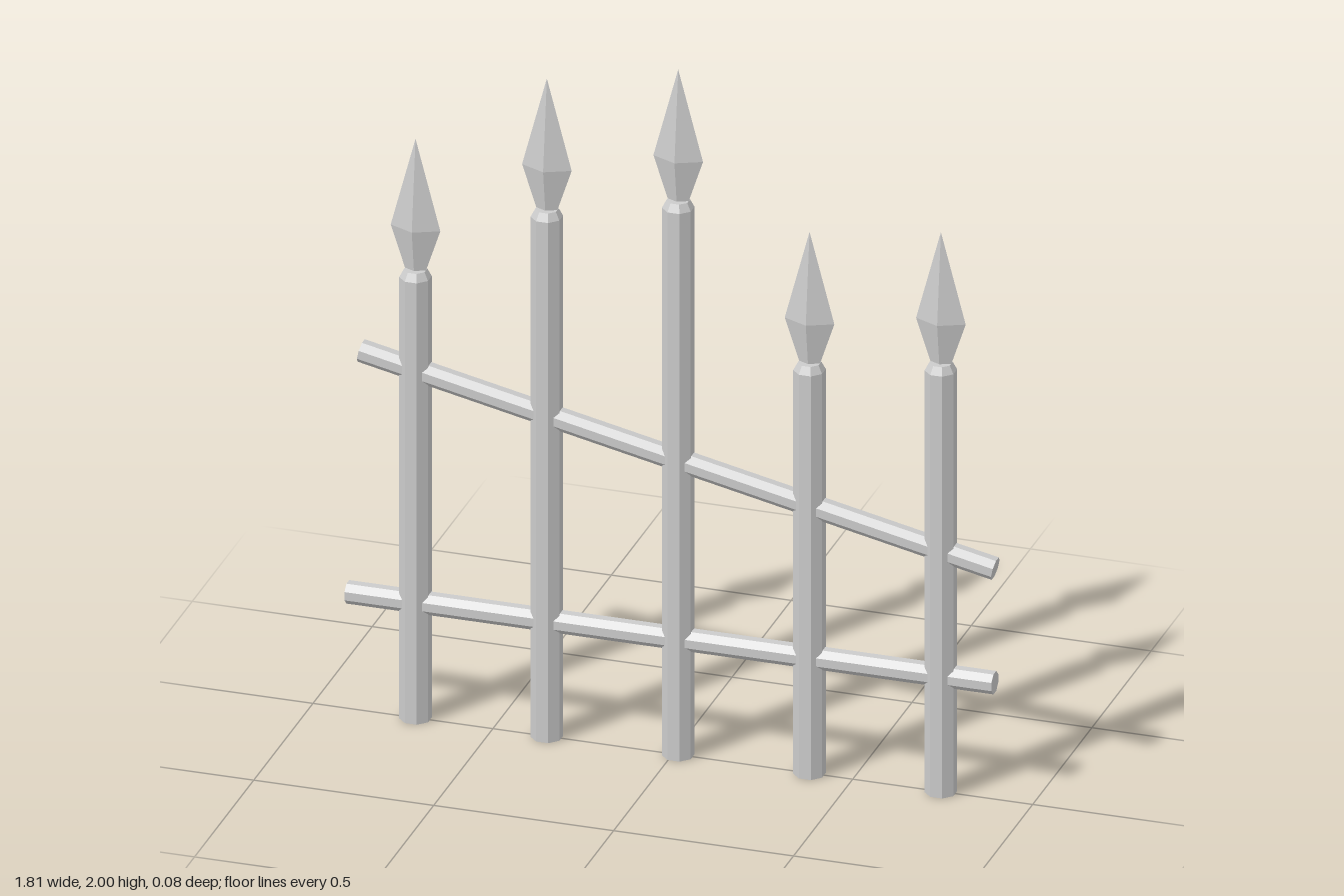
import * as THREE from 'three';

const material = new THREE.MeshStandardMaterial({ color: 0xcccccc, flatShading: true, side: THREE.DoubleSide });

// Revolved profile of [radius, y] points with a given number of sides
function turned(name, points, sides, phase) {
  const profile = points.map(([r, y]) => new THREE.Vector2(r, y));
  const mesh = new THREE.Mesh(new THREE.LatheGeometry(profile, sides, phase), material);
  mesh.name = name;
  return mesh;
}

// Octagonal radius measured across the flats
const flat = (r) => r / Math.cos(Math.PI / 8);

// Upright octagonal post with chamfered top and a flattened spearhead
function createPost(x, tip) {
  const post = new THREE.Group();
  post.name = 'post';
  const top = tip - 0.38;
  const shaft = turned('shaft', [
    [0, 0], [flat(0.04), 0], [flat(0.04), top - 0.022], [flat(0.029), top], [0, top],
  ], 8, Math.PI / 8);
  const spear = turned('spearhead', [
    [0, top - 0.01], [0.026, top - 0.01], [0.069, tip - 0.26], [0, tip],
  ], 4, 0);
  spear.scale.z = 0.46;
  post.add(shaft, spear);
  post.position.x = x;
  return post;
}

// Octagonal rail between two points in the fence plane
function createRail(name, x0, y0, x1, y1) {
  const length = Math.hypot(x1 - x0, y1 - y0);
  const r = flat(0.029);
  const rail = turned(name, [[0, -length / 2], [r, -length / 2], [r, length / 2], [0, length / 2]], 8, Math.PI / 8);
  rail.position.set((x0 + x1) / 2, (y0 + y1) / 2, 0);
  rail.rotation.z = Math.atan2(y1 - y0, x1 - x0) - Math.PI / 2;
  return rail;
}

export function createModel() {
  const fence = new THREE.Group();
  fence.name = 'fence';
  // Five evenly spaced posts of uneven height
  [1.69, 1.92, 2.0, 1.58, 1.633].forEach((tip, i) => {
    fence.add(createPost(-0.715 + i * 0.365, tip));
  });
  // Level lower rail and slipped upper rail
  fence.add(createRail('lowerRail', -0.903, 0.34, 0.895, 0.34));
  fence.add(createRail('upperRail', -0.866, 1.05, 0.896, 0.673));
  return fence;
}
